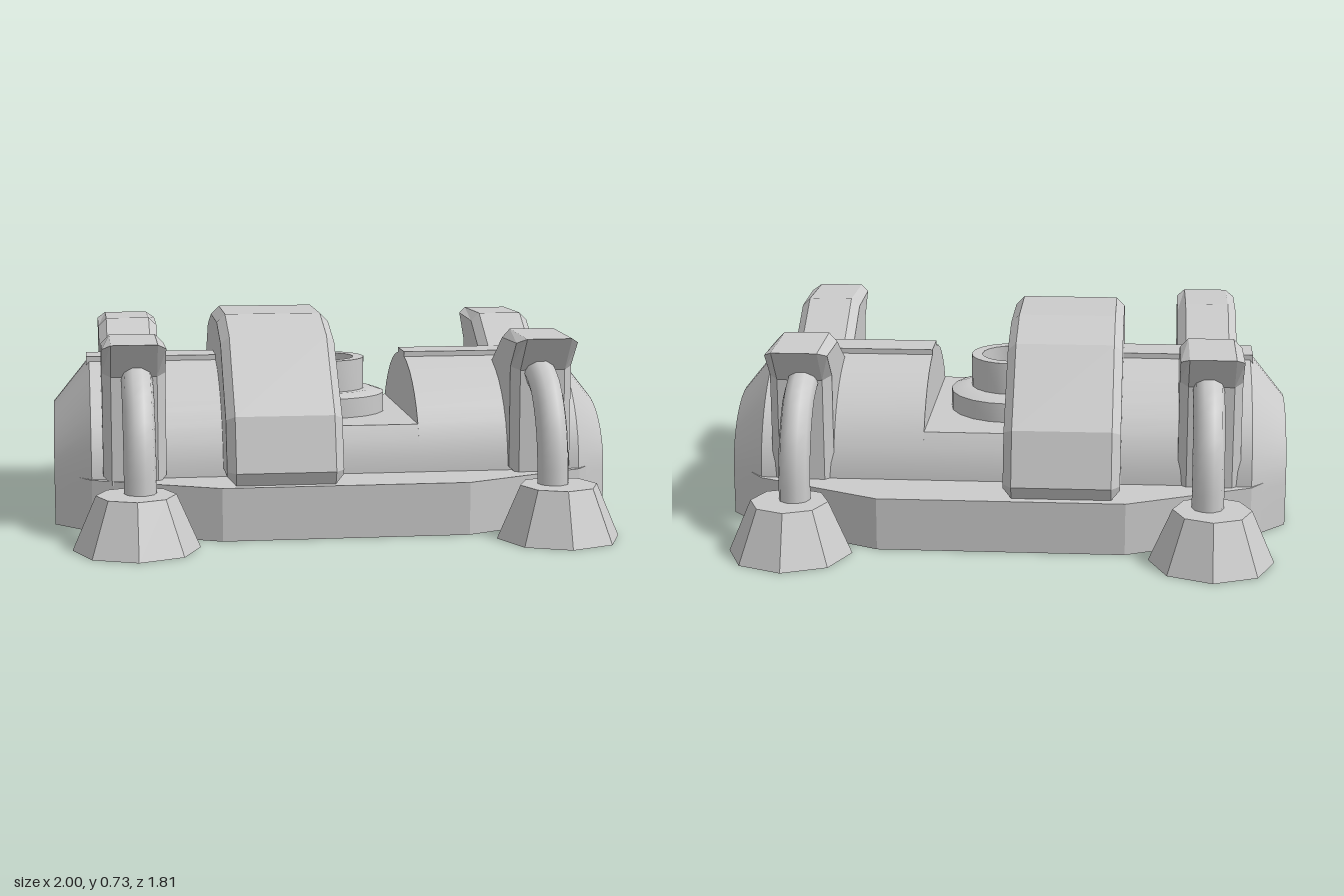
import * as THREE from 'three';
import { toCreasedNormals } from 'three/addons/utils/BufferGeometryUtils.js';

const smooth = new THREE.MeshStandardMaterial({ color: 0xcccccc });
const faceted = new THREE.MeshStandardMaterial({ color: 0xcccccc, flatShading: true });
const hollow = new THREE.MeshStandardMaterial({ color: 0xcccccc, side: THREE.DoubleSide });

function add(parent, name, geometry, material, x = 0, y = 0, z = 0) {
  const mesh = new THREE.Mesh(geometry, material);
  mesh.name = name;
  mesh.position.set(x, y, z);
  parent.add(mesh);
  return mesh;
}

// Extrudes a [z, y] outline along x from x0 to x1 with one chamfer
function slab(outline, x0, x1, chamfer) {
  const shape = new THREE.Shape(outline.map(([z, y]) => new THREE.Vector2(-z, y)));
  const geometry = new THREE.ExtrudeGeometry(shape, {
    depth: x1 - x0 - 2 * chamfer, bevelEnabled: chamfer > 0, bevelSegments: 1,
    bevelSize: chamfer, bevelThickness: chamfer, bevelOffset: -chamfer,
  });
  return geometry.translate(0, 0, chamfer).rotateY(Math.PI / 2).translate(x0, 0, 0);
}

// Arched cross-section with short upright sides
function arch(halfWidth, spring, top) {
  const points = [[halfWidth, 0]];
  for (let i = 0; i <= 20; i++) {
    const t = (i / 20) * Math.PI;
    points.push([halfWidth * Math.cos(t), spring + (top - spring) * Math.sin(t)]);
  }
  points.push([-halfWidth, 0]);
  return points;
}

// Joins cross-sections along x and closes both ends
function loft(sections) {
  const n = sections[0].ring.length;
  const positions = sections.flatMap(({ x, ring }) => ring.flatMap(([z, y]) => [x, y, z]));
  const index = [];
  const last = (sections.length - 1) * n;
  for (let i = 0; i < sections.length - 1; i++) {
    for (let j = 0; j < n - 1; j++) {
      const a = i * n + j, d = a + n;
      index.push(a, d, d + 1, a, d + 1, a + 1);
    }
  }
  for (let j = 1; j < n - 1; j++) {
    index.push(0, j, j + 1, last, last + j + 1, last + j);
  }
  const geometry = new THREE.BufferGeometry();
  geometry.setAttribute('position', new THREE.Float32BufferAttribute(positions, 3));
  geometry.setIndex(index);
  return toCreasedNormals(geometry, 0.5);
}

export function createModel() {
  const model = new THREE.Group();
  model.name = 'bunker';
  const body = new THREE.Group();
  body.name = 'body';
  body.position.z = -0.015;
  model.add(body);

  // Low plate with clipped corners
  const corners = [[0.43, 0.635], [0.87, 0.43], [0.99, 0.27]];
  const plan = [
    ...corners.map(([x, z]) => [x, z]),
    ...[...corners].reverse().map(([x, z]) => [x, -z]),
    ...corners.map(([x, z]) => [-x, -z]),
    ...[...corners].reverse().map(([x, z]) => [-x, z]),
  ];
  const plate = new THREE.ExtrudeGeometry(
    new THREE.Shape(plan.map(([x, z]) => new THREE.Vector2(x, -z))),
    { depth: 0.185, bevelEnabled: false });
  add(body, 'basePlate', plate.rotateX(-Math.PI / 2), faceted);

  // Barrel roof with tapered ends and a cut-away bay
  const hull = arch(0.42, 0.18, 0.56);
  const end = arch(0.28, 0.15, 0.4);
  const bay = hull.map(([z, y]) => [z, Math.min(y, 0.35)]);
  add(body, 'hull', loft([
    { x: -1, ring: end }, { x: -0.87, ring: hull },
    { x: -0.02, ring: hull }, { x: -0.02, ring: bay },
    { x: 0.29, ring: bay }, { x: 0.29, ring: hull },
    { x: 0.87, ring: hull }, { x: 1, ring: end },
  ]), smooth);

  // Flat ridge strips on either side of the bay
  for (const [x0, x1] of [[-0.88, -0.3], [0.29, 0.86]]) {
    add(body, 'ridge', new THREE.BoxGeometry(x1 - x0, 0.04, 0.14), faceted, (x0 + x1) / 2, 0.553, 0);
  }

  // Heavy arched band over the middle
  const half = [[0.6, 0.185], [0.62, 0.23], [0.57, 0.42], [0.34, 0.67], [0.15, 0.73]];
  const band = [...half, ...[...half].reverse().map(([z, y]) => [-z, y])];
  add(body, 'band', slab(band, -0.41, -0.005, 0.03), faceted);

  // Stepped pedestal and open collar in the bay
  const steps = [[0.225, 0.33], [0.225, 0.42], [0.18, 0.435], [0.15, 0.435],
    [0.15, 0.55], [0.11, 0.55], [0.11, 0.44], [0, 0.44]];
  const collar = new THREE.LatheGeometry(steps.map(([r, y]) => new THREE.Vector2(r, y)), 20);
  add(body, 'pedestal', toCreasedNormals(collar, 0.5), hollow, 0, 0, -0.015);

  // Four legs: bracket, bent strut and foot
  for (const sx of [-1, 1]) {
    for (const sz of [-1, 1]) {
      const leg = new THREE.Group();
      leg.name = (sz > 0 ? 'front' : 'back') + (sx > 0 ? 'Left' : 'Right') + 'Leg';
      model.add(leg);

      const outline = [[0.07, 0.555], [0.27, 0.678], [0.55, 0.672], [0.45, 0.55],
        [0.45, 0.17], [0.25, 0.17], [0.07, 0.45]].map(([z, y]) => [z * sz, y]);
      const x0 = sx > 0 ? 0.61 : -0.83;
      add(leg, 'bracket', slab(outline, x0, x0 + 0.22, 0.03), faceted);

      const path = new THREE.CatmullRomCurve3(
        [[0.15, 0.67], [0.3, 0.655], [0.4, 0.62], [0.5, 0.54], [0.55, 0.42]]
          .map(([y, z]) => new THREE.Vector3(sx * 0.71, y, sz * z)));
      add(leg, 'strut', new THREE.TubeGeometry(path, 12, 0.055, 10), smooth);

      add(leg, 'foot', new THREE.CylinderGeometry(0.135, 0.215, 0.185, 8), faceted,
        sx * 0.725, 0.0925, sz * 0.69);
    }
  }
  return model;
}
